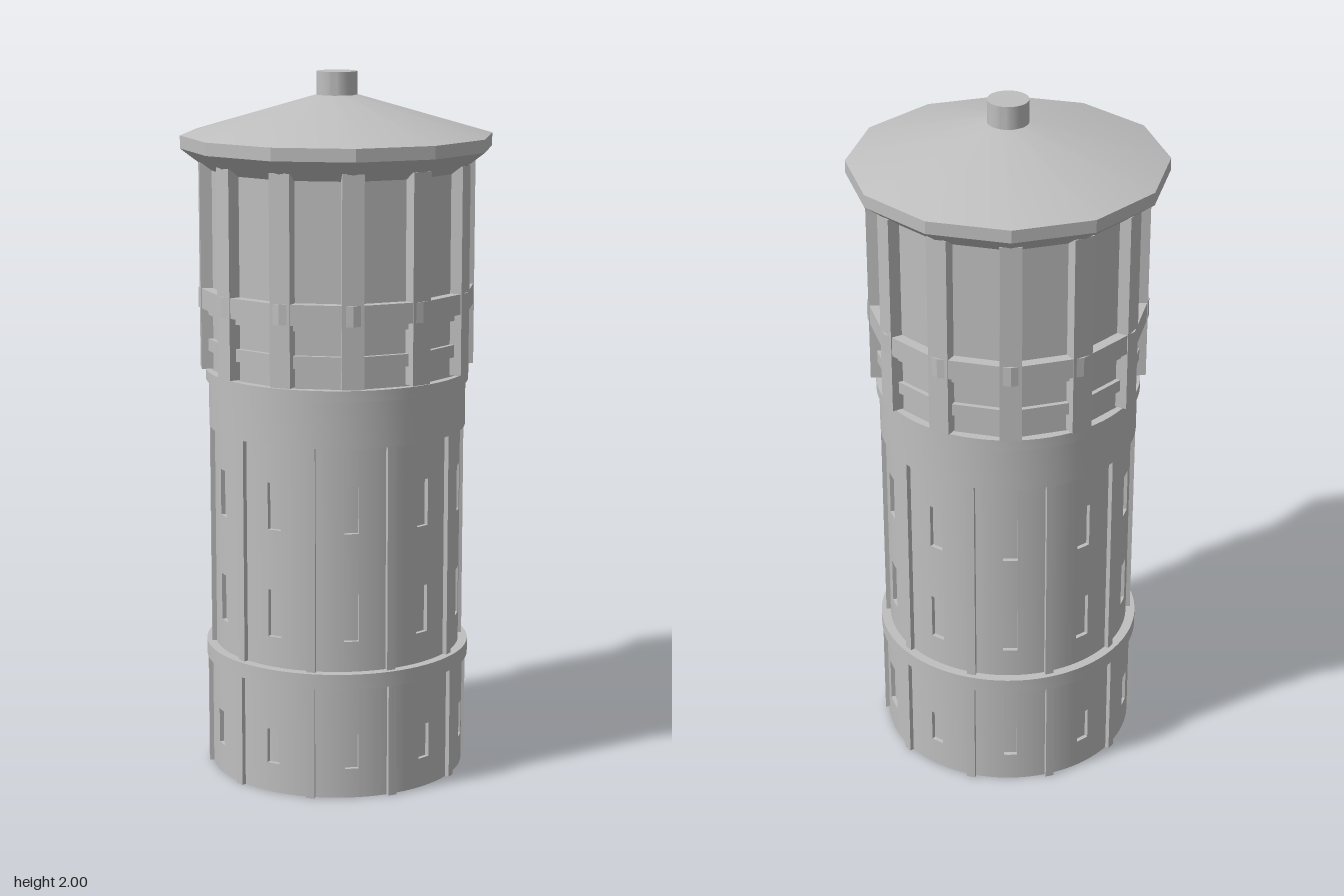
import * as THREE from 'three';
import { mergeGeometries, toCreasedNormals } from 'three/addons/utils/BufferGeometryUtils.js';

const DEG = Math.PI / 180;
const BAYS = 10, BAY = 36, FIRST = 15;        // round shaft: ten bays
const SIDES = 12;                             // tank and roof: twelve sides
const TO_CORNER = 1 / Math.cos(15 * DEG);     // flat-to-centre -> corner radius

// Solid of revolution; profile is [radius, y] going upwards
function turned(profile, segments = 80) {
  const pts = profile.map(([r, y]) => new THREE.Vector2(r, y));
  return toCreasedNormals(new THREE.LatheGeometry(pts, segments), 0.4);
}

// Twelve-sided solid; radii are measured to the middle of the flats
function twelveSided(profile) {
  const pts = profile.map(([r, y]) => new THREE.Vector2(r * TO_CORNER, y));
  const geo = new THREE.LatheGeometry(pts, SIDES, 15 * DEG);
  return toCreasedNormals(geo, 0.4);
}

// Curved block between two radii, two heights and two angles (0 = front, 90 = +x)
function arcBlock(r0, r1, y0, y1, a0, a1) {
  const s = (a0 - 90) * DEG, e = (a1 - 90) * DEG;
  const shape = new THREE.Shape();
  shape.absarc(0, 0, r1, s, e, false);
  shape.absarc(0, 0, r0, e, s, true);
  const geo = new THREE.ExtrudeGeometry(shape, {
    depth: y1 - y0, bevelEnabled: false, curveSegments: Math.max(2, Math.ceil((a1 - a0) / 3)),
  });
  geo.rotateX(-Math.PI / 2).translate(0, y0, 0);
  return toCreasedNormals(geo, 0.4);
}

// Round wall with one column of recessed openings in each bay
function piercedWall(r, y0, y1, openingsOf) {
  const inner = r - 0.02, parts = [];
  const half = (k) => openingsOf(k % BAYS).width / 2 / r / DEG;
  for (let k = 0; k < BAYS; k++) {
    const a = FIRST + k * BAY;
    parts.push(arcBlock(inner, r, y0, y1, a + half(k), a + BAY - half(k + 1)));
    let y = y0;
    for (const [lo, hi] of [...openingsOf(k).spans, [y1, y1]]) {
      parts.push(arcBlock(inner, r, y, lo, a - half(k), a + half(k)));
      y = hi;
    }
  }
  return mergeGeometries(parts);
}

// Narrow strips between the bays
function strips(r, y0, y1) {
  const parts = [], h = 0.0125 / r / DEG;
  for (let k = 0; k < BAYS; k++) {
    const a = FIRST + BAY / 2 + k * BAY;
    parts.push(arcBlock(r - 0.03, r, y0, y1, a - h, a + h));
  }
  return mergeGeometries(parts);
}

export function createModel() {
  const tower = new THREE.Group();
  tower.name = 'waterTower';
  const stone = new THREE.MeshStandardMaterial({ color: 0xbfbfbf });
  stone.name = 'stone grey';
  const add = (name, geo) => {
    const mesh = new THREE.Mesh(geo, stone);
    mesh.name = name;
    tower.add(mesh);
    return mesh;
  };

  // Base storey with windows and one door
  const door = { width: 0.064, spans: [[0.09, 0.225]] };
  const baseWindow = { width: 0.038, spans: [[0.085, 0.185]] };
  add('baseCore', turned([[0, 0], [0.352, 0], [0.352, 0.34]]));
  add('baseWall', piercedWall(0.364, 0, 0.34, (k) => (k === 3 ? door : baseWindow)));
  add('baseStrips', strips(0.376, 0, 0.33));
  add('baseRing', turned([[0.33, 0.322], [0.379, 0.322], [0.379, 0.365], [0.33, 0.365]]));

  // Shaft with two rows of windows
  const shaftWindows = { width: 0.042, spans: [[0.452, 0.588], [0.76, 0.893]] };
  add('shaftCore', turned([[0.34, 0.34], [0.34, 1.02]]));
  add('shaftWall', piercedWall(0.352, 0.35, 1.01, () => shaftWindows));
  add('shaftStrips', strips(0.365, 0.35, 1.01));
  add('collar', turned([[0.33, 1.002], [0.366, 1.002], [0.366, 1.135], [0.33, 1.135]]));
  add('collarRing', turned([[0.33, 1.134], [0.374, 1.134], [0.374, 1.165], [0, 1.165]]));

  // Tank wall, rails and belt
  add('tankWall', twelveSided([[0.35, 1.16], [0.35, 1.75]]));
  const belt = (name, r, y0, y1) =>
    add(name, twelveSided([[0.34, y0], [r, y0], [r, y1], [0.34, y1]]));
  belt('lowerRail', 0.363, 1.222, 1.257);
  belt('upperRail', 0.363, 1.325, 1.35);
  belt('tankBelt', 0.38, 1.343, 1.4);

  // Pillars on the tank corners, running up into the eaves
  const pillarGeo = new THREE.BoxGeometry(0.06, 0.582, 0.05);
  for (let k = 0; k < SIDES; k++) {
    const a = (15 + 30 * k) * DEG;
    const pillar = add('pillar', pillarGeo);
    pillar.position.set(Math.sin(a) * 0.363, 1.461, Math.cos(a) * 0.363);
    pillar.rotation.y = a;
  }

  // Roof with sloping soffit, eave edge and finial
  add('roof', twelveSided([
    [0.345, 1.726], [0.425, 1.789], [0.425, 1.825], [0.05, 1.937], [0, 1.937],
  ]));
  add('roofCap', turned([[0.057, 1.92], [0.057, 2], [0, 2]], 40));

  return tower;
}
